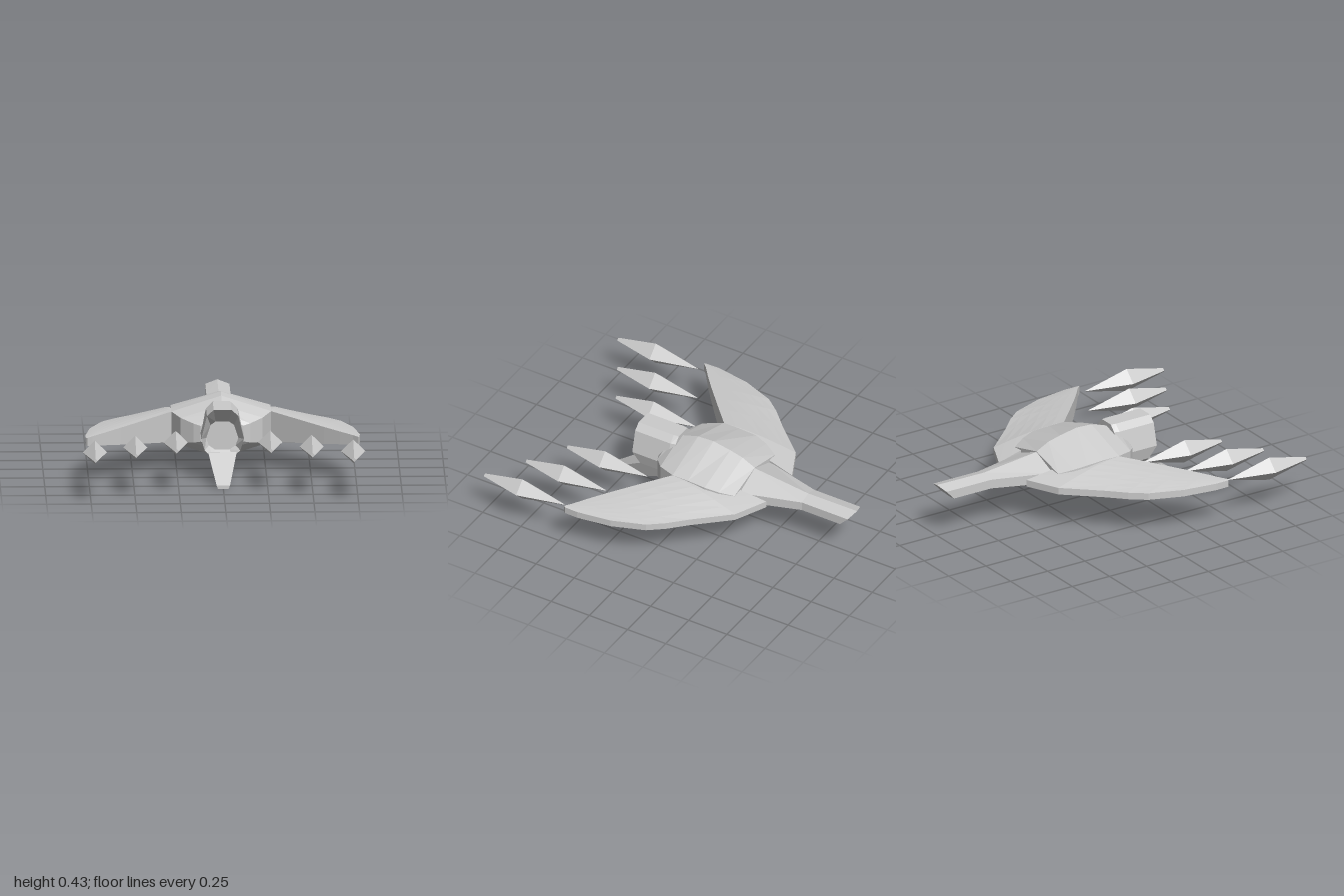
import * as THREE from 'three';

const material = new THREE.MeshStandardMaterial({ color: 0xcccccc, flatShading: true, side: THREE.DoubleSide });

// Skin closed rings of [x, y, z] points, cap both ends and face everything outward
function loft(name, rings) {
  const n = rings[0].length;
  const tris = [];
  for (let r = 0; r < rings.length - 1; r++) {
    for (let i = 0; i < n; i++) {
      const j = (i + 1) % n;
      const [a, b, c, d] = [rings[r][i], rings[r][j], rings[r + 1][j], rings[r + 1][i]];
      tris.push([a, b, c], [a, c, d]);
    }
  }
  const cap = (ring, flip) => {
    const mid = [0, 1, 2].map(k => ring.reduce((s, p) => s + p[k], 0) / n);
    ring.forEach((p, i) => {
      const q = ring[(i + 1) % n];
      tris.push(flip ? [mid, q, p] : [mid, p, q]);
    });
  };
  cap(rings[0], true);
  cap(rings[rings.length - 1], false);
  const v = p => new THREE.Vector3(...p);
  const volume = tris.reduce((s, [a, b, c]) => s + v(a).dot(v(b).cross(v(c))), 0);
  const corners = tris.flatMap(t => (volume < 0 ? [t[0], t[2], t[1]] : t)).flat();
  const geometry = new THREE.BufferGeometry();
  geometry.setAttribute('position', new THREE.Float32BufferAttribute(corners, 3));
  geometry.computeVertexNormals();
  const mesh = new THREE.Mesh(geometry, material);
  mesh.name = name;
  return mesh;
}

// Six-sided ring with a ridge above and a keel below
const hexRing = ([z, w, top, edgeTop, edgeBottom, bottom, zBottom = z]) => {
  const depth = y => z + (zBottom - z) * (top - y) / (top - bottom);
  return [[0, top], [w, edgeTop], [w, edgeBottom], [0, bottom], [-w, edgeBottom], [-w, edgeTop]]
    .map(([x, y]) => [x, y, depth(y)]);
};

// Swept wing: leading edge x, z paired with inner front edge x, z
const WING = [
  [0.14, -0.49, 0.20, 0.04],
  [0.33, -0.40, 0.28, 0.04],
  [0.50, -0.21, 0.39, 0.14],
  [0.60, -0.11, 0.48, 0.22],
  [0.67, -0.02, 0.57, 0.30],
  [0.74, 0.17, 0.66, 0.375],
  [0.77, 0.37, 0.73, 0.43],
  [0.768, 0.45, 0.76, 0.46],
];
function wing(side) {
  const rows = 6;
  const rings = WING.map(([xl, zl, xf, zf]) => {
    const thick = 0.0875 - 0.0645 * Math.max(0, xf - 0.28) / 0.48;
    const top = [], bottom = [];
    for (let i = 0; i <= rows; i++) {
      const t = i / rows;
      const h = 0.02 + (thick - 0.02) * Math.sin(t * Math.PI / 2);
      const x = side * (xl + (xf - xl) * t), z = zl + (zf - zl) * t;
      top.push([x, 0.247 + h, z]);
      bottom.unshift([x, 0.247 - h, z]);
    }
    return [...top, ...bottom];
  });
  return loft(side > 0 ? 'leftWing' : 'rightWing', rings);
}

// Floating four-sided spike with a blunt front end
function spike(name, x, z) {
  const ring = (r, dz) => [[r, 0], [0, r], [-r, 0], [0, -r]].map(([a, b]) => [x + a, 0.247 + b, z + dz]);
  return loft(name, [ring(0.002, -0.275), ring(0.068, 0), ring(0.012, 0.245)]);
}

export function createModel() {
  const model = new THREE.Group();
  model.name = 'wingedCraft';

  // Rounded body: z, half width, ridge, upper edge, lower edge, keel
  model.add(loft('body', [
    [-0.33, 0.22, 0.35, 0.295, 0.195, 0.145],
    [-0.25, 0.26, 0.39, 0.315, 0.18, 0.105],
    [-0.17, 0.28, 0.41, 0.33, 0.165, 0.085],
    [-0.06, 0.28, 0.43, 0.335, 0.16, 0.068],
    [0.04, 0.28, 0.425, 0.335, 0.16, 0.07],
    [0.15, 0.23, 0.39, 0.32, 0.18, 0.10],
    [0.21, 0.16, 0.36, 0.30, 0.19, 0.135],
    [0.23, 0.12, 0.345, 0.29, 0.20, 0.15],
  ].map(hexRing)));

  // Tail with an undercut end
  model.add(loft('tail', [
    [-0.30, 0.175, 0.355, 0.28, 0.22, 0.135],
    [-0.33, 0.165, 0.347, 0.28, 0.22, 0.145],
    [-0.68, 0.068, 0.308, 0.288, 0.235, 0.215],
    [-1.0, 0.068, 0.31, 0.288, 0.235, 0.215, -0.91],
  ].map(hexRing)));

  // Hooded head: outer shell, rim, then a funnel down to a recessed disc
  const half = [[0.05, 0.415], [0.088, 0.38], [0.12, 0.25], [0.1, 0.175], [0.055, 0.135]];
  const outline = [...half, ...half.slice().reverse().map(([x, y]) => [-x, y])];
  const rim = y => (y >= 0.25 ? 0.40 : 0.36);
  model.add(loft('head', [
    outline.map(([x, y]) => [x * 0.9, y, 0.14]),
    outline.map(([x, y]) => [x, y, 0.17]),
    outline.map(([x, y]) => [x, y, rim(y)]),
    outline.map(([x, y]) => [x * 0.75, 0.237 + (y - 0.25) * 0.57, 0.31]),
  ]));

  // Sloping lower jaw: upper and lower corners as half width, y, z
  const jawRing = ([a, b]) => [a, b, [-b[0], b[1], b[2]], [-a[0], a[1], a[2]]];
  model.add(loft('lowerJaw', [
    [[0.08, 0.165, 0.36], [0.06, 0.13, 0.15]],
    [[0.038, 0.02, 0.58], [0.03, 0, 0.47]],
    [[0.038, 0.02, 0.58], [0.03, 0, 0.58]],
  ].map(jawRing)));

  // Wings and the three spikes ahead of each
  for (const side of [1, -1]) {
    model.add(wing(side));
    [[0.265, 0.49], [0.495, 0.62], [0.725, 0.755]].forEach(([x, z], i) => {
      model.add(spike(`${side > 0 ? 'left' : 'right'}Spike${i + 1}`, side * x, z));
    });
  }
  return model;
}
